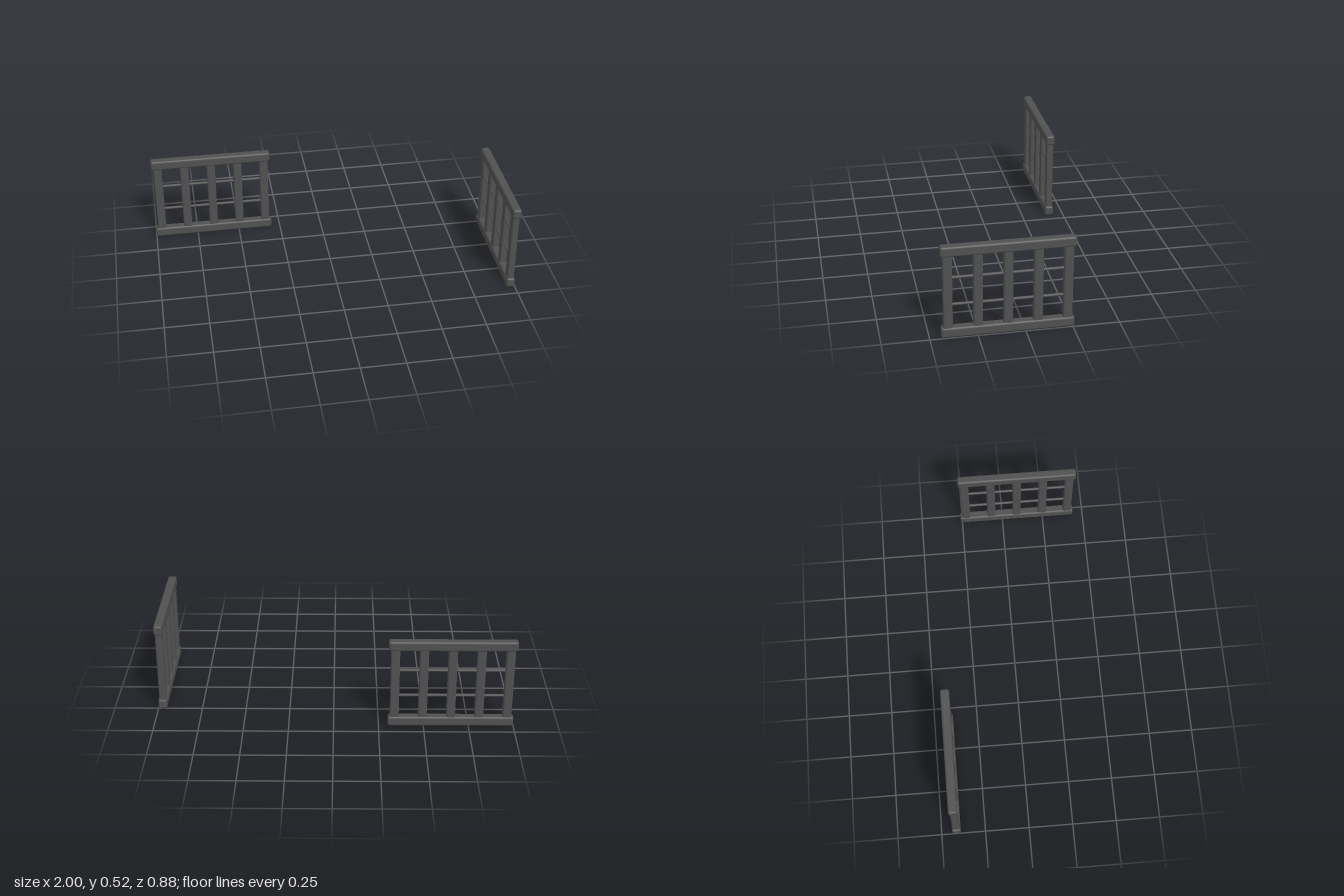
import * as THREE from 'three';
import { RoundedBoxGeometry } from 'three/addons/geometries/RoundedBoxGeometry.js';

const LENGTH = 0.7, HEIGHT = 0.522, RAIL_H = 0.057, RAIL_D = 0.05;
const POST_W = 0.05, POST_D = 0.04, POST_GAP = 0.1565;

export function createModel() {
  const iron = new THREE.MeshStandardMaterial({ color: 0x505050 });
  iron.name = 'dark iron';

  const railGeo = new RoundedBoxGeometry(LENGTH, RAIL_H, RAIL_D, 3, 0.012);
  const postGeo = new RoundedBoxGeometry(POST_W, HEIGHT - RAIL_H, POST_D, 3, 0.01);
  const rodGeo = new THREE.CylinderGeometry(0.008, 0.008, POST_GAP * 4, 12).rotateZ(Math.PI / 2);

  // One barred panel, running along x and centred on its length
  function makePanel(name) {
    const panel = new THREE.Group();
    panel.name = name;
    const add = (geometry, part, x, y) => {
      const mesh = new THREE.Mesh(geometry, iron);
      mesh.name = part;
      mesh.position.set(x, y, 0);
      panel.add(mesh);
    };

    // Thick rails at the bottom and top
    add(railGeo, 'bottomRail', 0, RAIL_H / 2);
    add(railGeo, 'topRail', 0, HEIGHT - RAIL_H / 2);

    // Five upright bars, set into the rails
    for (let i = -2; i <= 2; i++) add(postGeo, 'uprightBar', i * POST_GAP, HEIGHT / 2);

    // Two thin cross rods between the outer bars
    for (const y of [0.185, 0.34]) add(rodGeo, 'crossRod', 0, y);
    return panel;
  }

  const model = new THREE.Group();
  model.name = 'barredPanels';

  const backPanel = makePanel('backPanel');
  backPanel.position.set(-0.65, 0, -0.415);

  const sidePanel = makePanel('sidePanel');
  sidePanel.rotation.y = Math.PI / 2;
  sidePanel.position.set(0.975, 0, 0.09);

  model.add(backPanel, sidePanel);
  return model;
}
